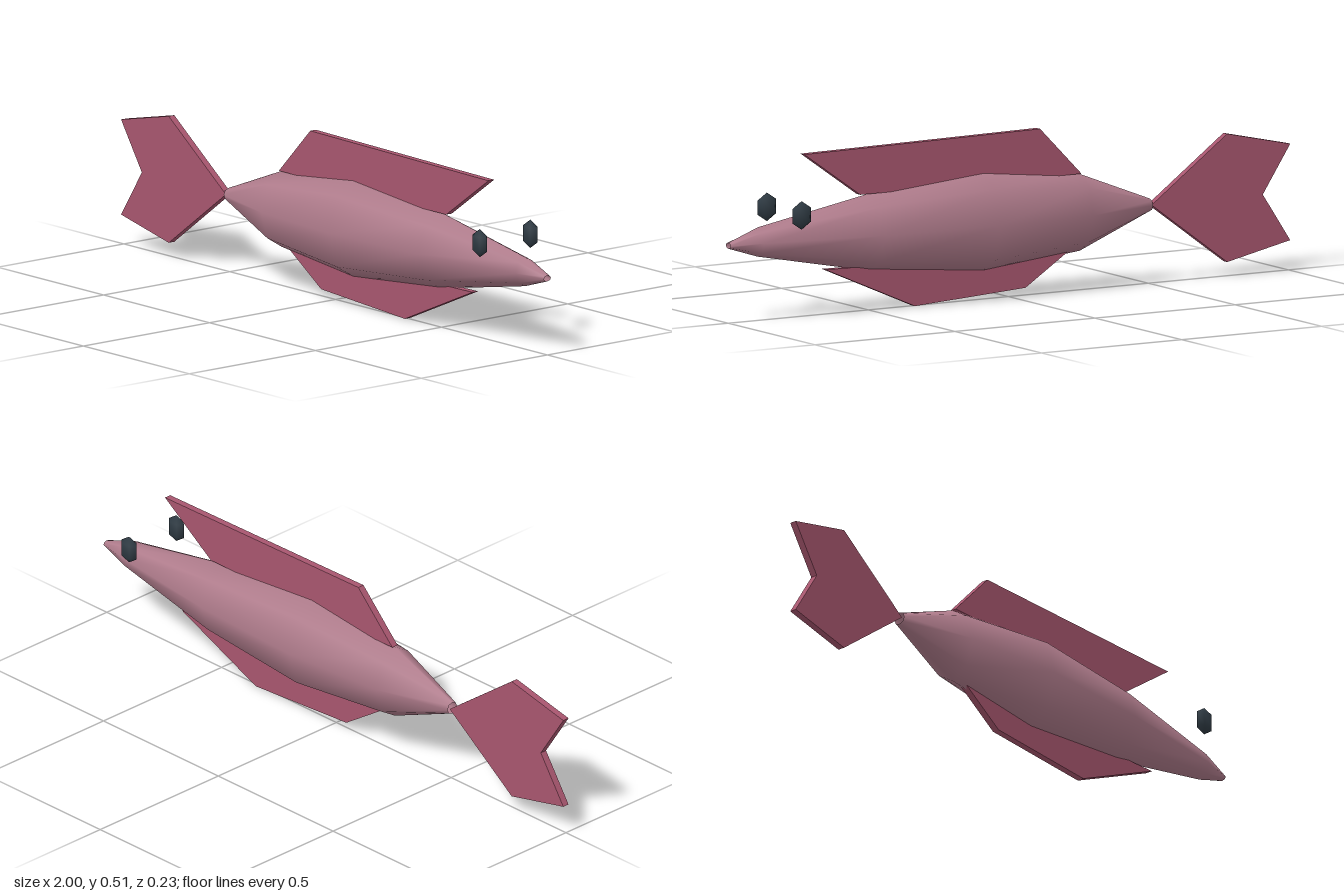
import * as THREE from 'three';

const pink = new THREE.MeshStandardMaterial({ color: 0xb07c8c, side: THREE.DoubleSide });
pink.name = 'body pink';
const rose = new THREE.MeshStandardMaterial({ color: 0xa8566f });
rose.name = 'fin rose';
const slate = new THREE.MeshStandardMaterial({ color: 0x2f3b44 });
slate.name = 'eye slate';

// Body: smooth open tube of eight-sided elliptical sections along x
function bodyGeometry() {
  const sides = 8;
  // x, centre y, half height, half width
  const sections = [
    [-0.505, 0.243, 0.019, 0.02],
    [-0.255, 0.24, 0.118, 0.08],
    [0.095, 0.241, 0.155, 0.109],
    [0.495, 0.241, 0.119, 0.089],
    [0.895, 0.243, 0.045, 0.038],
    [1, 0.24, 0.009, 0.014],
  ];
  const positions = [];
  const index = [];
  sections.forEach(([x, y, h, w], i) => {
    for (let j = 0; j < sides; j++) {
      const a = (j / sides) * Math.PI * 2;
      positions.push(x, y + h * Math.cos(a), w * Math.sin(a));
      if (i === sections.length - 1) continue;
      const p = i * sides + j;
      const q = i * sides + ((j + 1) % sides);
      index.push(p, q, p + sides, q, q + sides, p + sides);
    }
  });
  const geometry = new THREE.BufferGeometry();
  geometry.setAttribute('position', new THREE.Float32BufferAttribute(positions, 3));
  geometry.setIndex(index);
  geometry.computeVertexNormals();
  return geometry;
}

// Flat fin cut from an outline in the xy plane, centred on z = 0
function fin(name, outline) {
  const depth = 0.022;
  const shape = new THREE.Shape(outline.map(([x, y]) => new THREE.Vector2(x, y)));
  const geometry = new THREE.ExtrudeGeometry(shape, { depth, bevelEnabled: false });
  geometry.translate(0, 0, -depth / 2);
  const mesh = new THREE.Mesh(geometry, rose);
  mesh.name = name;
  return mesh;
}

export function createModel() {
  const model = new THREE.Group();
  model.name = 'fish';

  const body = new THREE.Mesh(bodyGeometry(), pink);
  body.name = 'body';
  model.add(body);

  model.add(
    fin('tailFin', [[-0.505, 0.243], [-0.775, 0.44], [-1, 0.391], [-0.902, 0.243], [-1, 0.095], [-0.775, 0.046]]),
    fin('dorsalFin', [[-0.255, 0.36], [-0.107, 0.51], [0.735, 0.5], [0.535, 0.36]]),
    fin('bellyFin', [[-0.21, 0.127], [-0.055, 0.026], [0.34, 0.002], [0.66, 0.14]]),
  );

  // Eyes: small flattened low-poly spheres beside the head
  const eyeGeometry = new THREE.SphereGeometry(1, 6, 3).scale(0.038, 0.044, 0.02);
  for (const [name, z] of [['rightSideEye', 0.1], ['leftSideEye', -0.1]]) {
    const eye = new THREE.Mesh(eyeGeometry, slate);
    eye.name = name;
    eye.position.set(0.8, 0.33, z);
    model.add(eye);
  }
  return model;
}
